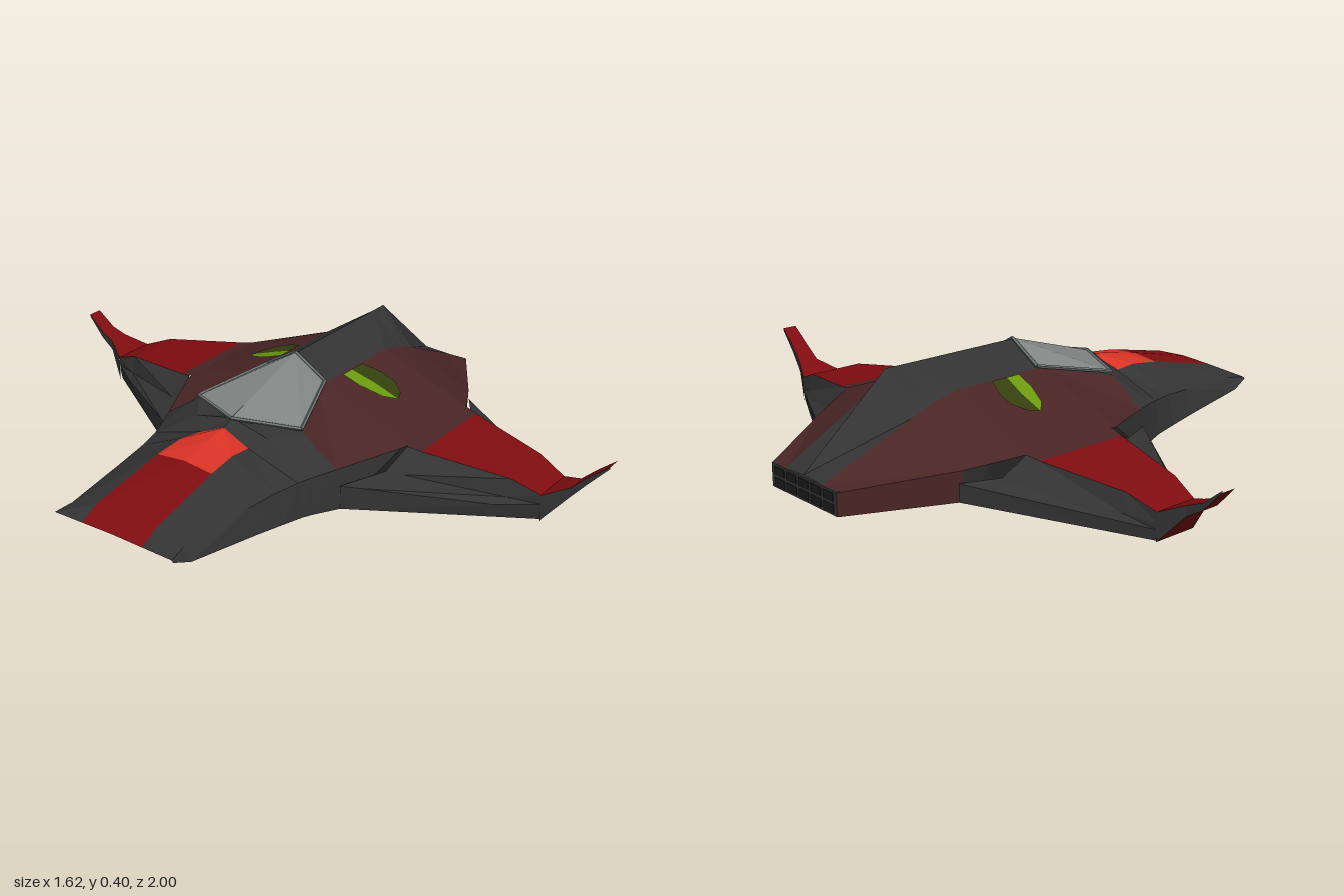
import * as THREE from 'three';

const mat = (name, color, side = THREE.FrontSide) => {
  const m = new THREE.MeshStandardMaterial({ color, side, flatShading: true });
  m.name = name;
  return m;
};

export function createModel() {
  const model = new THREE.Group();
  model.name = 'spacecraft';
  const M = {
    charcoal: mat('charcoal', 0x333333),
    maroon: mat('maroon', 0x4a2526),
    red: mat('deepRed', 0x800d10),
    bright: mat('brightRed', 0xd93225),
    glass: mat('canopyGlass', 0x808584),
    frame: mat('canopyFrame', 0x6c7272),
    green: mat('green', 0x6b9a0f, THREE.DoubleSide),
    darkGreen: mat('darkGreen', 0x35400f, THREE.DoubleSide),
    gold: mat('bellyGold', 0x9a6620),
    black: mat('slotBlack', 0x1c1c1c),
  };

  // Skin between successive rings of points; pick(i, j) names each panel's material.
  // side = -1 mirrors the skin in z.
  function loft(name, rings, pick, side, closed = false) {
    const buckets = {};
    const n = rings[0].length;
    for (let i = 0; i < rings.length - 1; i++) {
      for (let j = 0; j < (closed ? n : n - 1); j++) {
        const k = (j + 1) % n;
        const [a, b, c, d] = [rings[i][j], rings[i][k], rings[i + 1][k], rings[i + 1][j]];
        const tris = side > 0 ? [a, d, c, a, c, b] : [a, c, d, a, b, c];
        (buckets[pick(i, j)] ??= []).push(...tris.flatMap(([x, y, z]) => [x, y, z * side]));
      }
    }
    const geo = new THREE.BufferGeometry();
    const keys = Object.keys(buckets);
    let start = 0;
    keys.forEach((key, g) => {
      geo.addGroup(start, buckets[key].length / 3, g);
      start += buckets[key].length / 3;
    });
    geo.setAttribute('position', new THREE.Float32BufferAttribute(keys.flatMap(k => buckets[k]), 3));
    geo.computeVertexNormals();
    const mesh = new THREE.Mesh(geo, keys.map(k => M[k]));
    mesh.name = name;
    model.add(mesh);
  }

  // Hull stations: x, keel y, keel half width, chine (z, y), shoulder (z, y), spine edge (z, y), ridge y
  const hull = [
    [-0.81, 0.142, 0.1, 0.22, 0.142, 0.215, 0.148, 0.11, 0.15, 0.152],
    [-0.75, 0.118, 0.1, 0.232, 0.12, 0.205, 0.155, 0.11, 0.182, 0.188],
    [-0.5, 0.093, 0.1, 0.262, 0.095, 0.235, 0.172, 0.1, 0.236, 0.246],
    [-0.4, 0.083, 0.1, 0.277, 0.085, 0.25, 0.178, 0.095, 0.248, 0.266],
    [-0.32, 0.075, 0.1, 0.29, 0.077, 0.27, 0.182, 0.09, 0.238, 0.278],
    [-0.28, 0.071, 0.1, 0.303, 0.073, 0.285, 0.185, 0.13, 0.265, 0.295],
    [-0.2, 0.065, 0.13, 0.335, 0.065, 0.32, 0.19, 0.2, 0.272, 0.285],
    [0.0, 0.018, 0.2, 0.335, 0.025, 0.411, 0.204, 0.11, 0.315, 0.34],
    [0.03, 0.012, 0.21, 0.335, 0.019, 0.42, 0.205, 0.11, 0.32, 0.39],
    [0.08, 0, 0.22, 0.335, 0.009, 0.42, 0.205, 0.11, 0.32, 0.392],
    [0.31, 0, 0.22, 0.335, 0.009, 0.42, 0.205, 0.115, 0.32, 0.392],
    [0.36, 0.019, 0.2, 0.335, 0.026, 0.42, 0.205, 0.115, 0.32, 0.392],
    [0.46, 0.058, 0.15, 0.335, 0.061, 0.37, 0.187, 0.118, 0.295, 0.392],
    [0.52, 0.083, 0.15, 0.335, 0.083, 0.338, 0.176, 0.12, 0.272, 0.392],
    [0.81, 0.065, 0.08, 0.16, 0.065, 0.16, 0.135, 0.09, 0.138, 0.142],
  ];
  const hullRings = hull.map(([x, ky, kz, cz, cy, sz, sy, iz, iy, ty]) =>
    [[x, ky, 0], [x, ky, kz], [x, cy, cz], [x, sy, sz], [x, iy, iz], [x, ty, 0]]);
  const hullColor = (i, j) => {
    const x = hull[i][0];
    if (j === 0) return x >= -0.29 && x < 0.45 ? 'gold' : 'red';
    if (j === 1) return 'red';
    if (j === 2) return x >= 0.52 ? 'maroon' : 'charcoal';
    if (j === 3) return x >= -0.21 ? 'maroon' : 'charcoal';
    return x < -0.51 ? 'red' : x < -0.33 ? 'bright' : 'charcoal';
  };

  // Wing ring: under front, front edge, gully, top panel, rear gully, rear edge, under rear
  const wingRoot = [[0.08, 0.009, 0.335], [-0.2, 0.065, 0.335], [-0.2, 0.14, 0.332], [-0.06, 0.15, 0.4],
    [0.02, 0.205, 0.42], [0.36, 0.205, 0.42], [0.43, 0.15, 0.4], [0.53, 0.14, 0.335],
    [0.53, 0.085, 0.335], [0.31, 0.009, 0.335]];
  const wingTip = [[0.16, 0.045, 0.82], [0.125, 0.047, 0.82], [0.118, 0.08, 0.82], [0.116, 0.1, 0.82],
    [0.115, 0.13, 0.82], [0.26, 0.13, 0.82], [0.26, 0.1, 0.82], [0.26, 0.08, 0.82],
    [0.255, 0.047, 0.82], [0.22, 0.045, 0.82]];
  const wingRings = [[0, 0], [0.11, 0], [0.775, 0.018], [1, 0]].map(([t, bump]) =>
    wingRoot.map((p, j) => p.map((v, k) =>
      v + (wingTip[j][k] - v) * t + (k === 1 && (j === 4 || j === 5) ? bump : 0))));
  const wingColor = (i, j) =>
    j === 4 ? (i === 0 ? 'maroon' : 'red') : [0, 8, 9].includes(j) ? 'red' : 'charcoal';

  // Upswept winglet: z, x range, lower y, upper y
  const wingletRings = tipY => [
    [0.82, 0.115, 0.26, 0.045, 0.13],
    [0.89, 0.155, 0.226, 0.128, 0.16],
    [0.94, 0.162, 0.219, tipY - 0.072, tipY - 0.05],
    [1, 0.166, 0.215, tipY - 0.006, tipY],
  ].map(([z, x0, x1, y0, y1]) => [[x0, y0, z], [x0, y1, z], [x1, y1, z], [x1, y0, z]]);

  // Slit-shaped marks on the sloping flanks, as (x, z) outlines
  const marks = {
    green: [[0.18, 0.285], [0.145, 0.25], [0.122, 0.18], [0.118, 0.12], [0.165, 0.12], [0.178, 0.2]],
    darkGreen: [[0.18, 0.285], [0.215, 0.27], [0.245, 0.23], [0.245, 0.18], [0.222, 0.12], [0.165, 0.12], [0.178, 0.2]],
  };

  for (const side of [1, -1]) {
    const s = side > 0 ? 'left' : 'right';
    loft(s + 'Hull', hullRings, hullColor, side);
    loft(s + 'Wing', wingRings, wingColor, side, true);
    loft(s + 'Winglet', wingletRings(side > 0 ? 0.258 : 0.23),
      (i, j) => (j % 2 ? 'red' : 'charcoal'), side, true);
    // Canopy half: outer rim to the raised centre line
    loft(s + 'Canopy', [
      [[-0.285, 0.295, 0], [-0.285, 0.297, 0]],
      [[-0.2, 0.282, 0.195], [-0.2, 0.322, 0]],
      [[0.035, 0.326, 0.11], [0.035, 0.394, 0]],
    ], () => 'glass', side);
    for (const [key, pts] of Object.entries(marks)) {
      const geo = new THREE.ShapeGeometry(new THREE.Shape(pts.map(p => new THREE.Vector2(...p))));
      const pos = geo.attributes.position;
      for (let i = 0; i < pos.count; i++) {
        const z = pos.getY(i);
        pos.setXYZ(i, pos.getX(i), 0.325 - 0.371 * (z - 0.11), z * side);
      }
      geo.computeVertexNormals();
      const mesh = new THREE.Mesh(geo, M[key]);
      mesh.name = s + 'FlankMark';
      model.add(mesh);
    }
  }

  // Thin bars around the canopy rim
  const rim = [[-0.285, 0.296, 0], [-0.2, 0.284, 0.195], [0.035, 0.328, 0.11], [0.035, 0.394, 0],
    [0.035, 0.328, -0.11], [-0.2, 0.284, -0.195]].map(p => new THREE.Vector3(...p));
  rim.forEach((a, i) => {
    const b = rim[(i + 1) % rim.length];
    const bar = new THREE.Mesh(new THREE.CylinderGeometry(0.006, 0.006, a.distanceTo(b), 5), M.frame);
    bar.position.copy(a).lerp(b, 0.5);
    bar.quaternion.setFromUnitVectors(new THREE.Vector3(0, 1, 0), b.clone().sub(a).normalize());
    bar.name = 'canopyRim';
    model.add(bar);
  });

  // Engine outlet with two rows of slots
  const box = (name, m, w, h, d, x, y, z) => {
    const mesh = new THREE.Mesh(new THREE.BoxGeometry(w, h, d), m);
    mesh.position.set(x, y, z);
    mesh.name = name;
    model.add(mesh);
  };
  box('engineOutlet', M.charcoal, 0.01, 0.072, 0.318, 0.806, 0.101, 0);
  for (const y of [0.084, 0.118])
    for (let i = -2; i <= 2; i++) box('engineSlot', M.black, 0.004, 0.024, 0.048, 0.811, y, i * 0.06);

  return model;
}
